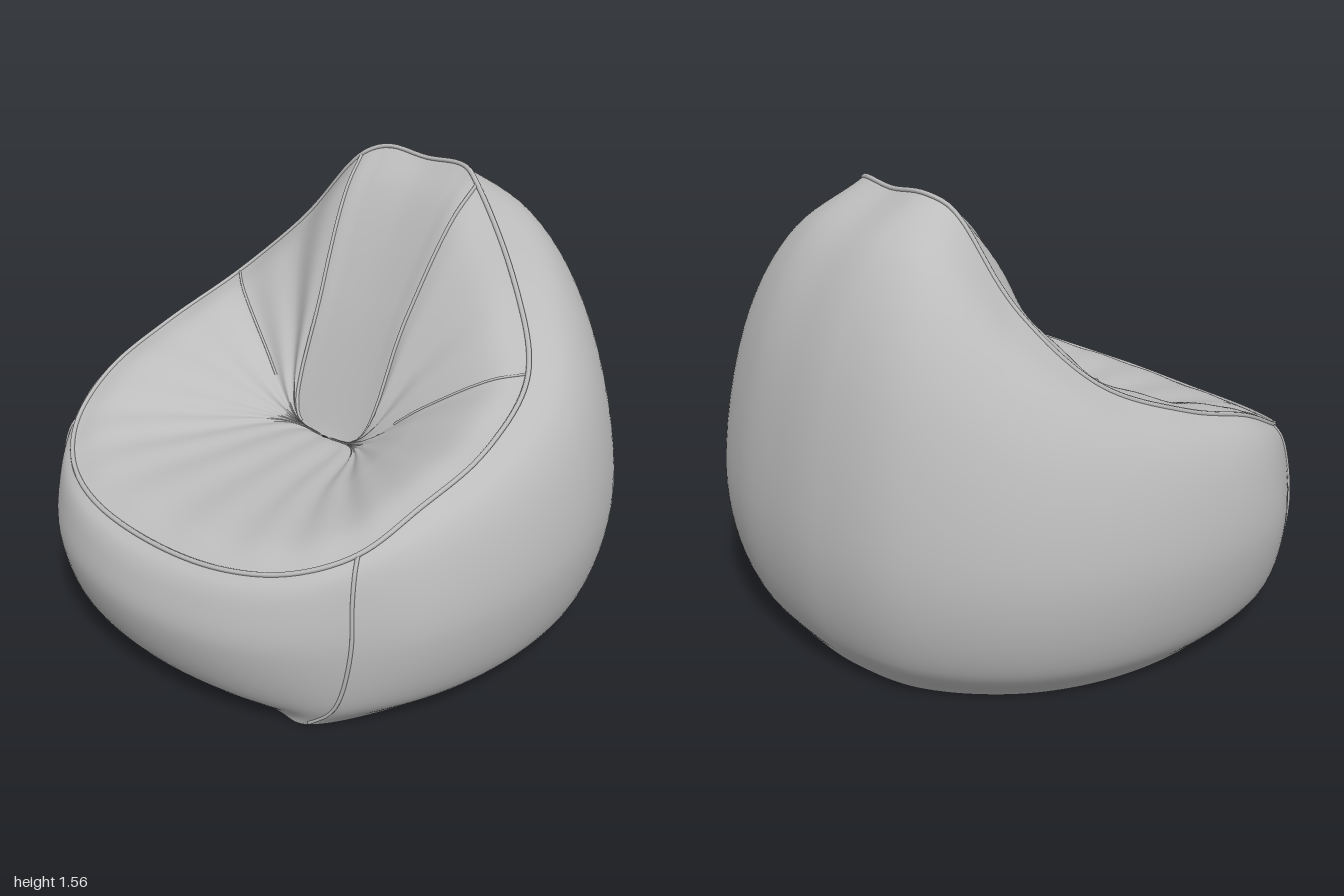
import * as THREE from 'three';
import { ParametricGeometry } from 'three/addons/geometries/ParametricGeometry.js';

// Left half of two key outlines, front centre -> side -> back centre
const BELLY = [[0, 1], [.35, .95], [.58, .84], [.725, .7], [.89, .47], [.98, .08],
  [.955, -.3], [.82, -.62], [.56, -.88], [.26, -.98], [0, -1]];
const RIM = [[0, .555, .9], [.32, .57, .87], [.54, .605, .78], [.69, .67, .63], [.755, .77, .42], [.775, .86, .12],
  [.7, 1, -.2], [.5, 1.23, -.37], [.27, 1.51, -.44], [.18, 1.55, -.48], [0, 1.54, -.49]];
const LAST = RIM.length - 1;

// Outside profile of one column: base, low, belly, upper, shoulder, rim
function outerColumn(i) {
  const [x, z] = BELLY[i];
  const belly = new THREE.Vector3(x, .4 - .07 * z, z);
  // the front of the base runs nearly straight between two corners
  const base = i < 4 ? new THREE.Vector3(x * .76, 0, .76 - .01 * i) : new THREE.Vector3(x * .83, 0, z * .84);
  const rim = new THREE.Vector3(...RIM[i]);
  const blend = (a, b, across, up) => a.clone().lerp(b, across).setY(THREE.MathUtils.lerp(a.y, b.y, up));
  return [base, blend(base, belly, .64, .31), belly, blend(belly, rim, .21, .56), blend(belly, rim, .55, .85), rim];
}

// Inside profile of one column: rim, padded edge, padded middle, crease, bottom
function innerColumn(i) {
  const angle = Math.PI * i / LAST;
  const rim = new THREE.Vector3(...RIM[i]);
  const crease = new THREE.Vector3(Math.min(.15, .3 * Math.sin(angle)),
    .63 - .01 * Math.cos(angle), .055 + .025 * Math.cos(angle));
  const puff = new THREE.Vector3(0, .035, .03);
  const padded = t => rim.clone().lerp(crease, t).add(puff);
  return [rim, padded(.17), padded(.56), crease, crease.clone().lerp(new THREE.Vector3(0, .605, .05), .92)];
}

// Full ring of column curves, the right half mirrored from the left
function columnCurves(column) {
  return Array.from({ length: 2 * LAST }, (_, k) => {
    const mirrored = k > LAST;
    const points = column(mirrored ? 2 * LAST - k : k);
    if (mirrored) points.forEach(p => { p.x = -p.x; });
    return new THREE.CatmullRomCurve3(points);
  });
}

export function createModel() {
  const group = new THREE.Group();
  const fabric = new THREE.MeshStandardMaterial({ color: 0xbcbcbc });
  fabric.name = 'grey fabric';

  const outer = { curves: columnCurves(outerColumn), rings: new Map(), pleats: 0 };
  const inner = { curves: columnCurves(innerColumn), rings: new Map(), pleats: .018 };

  // Closed ring through all columns at height v, cached
  function ring(surface, v) {
    if (!surface.rings.has(v)) {
      surface.rings.set(v, new THREE.CatmullRomCurve3(surface.curves.map(c => c.getPoint(v)), true));
    }
    return surface.rings.get(v);
  }

  // u: 0 front, 0.25 left, 0.5 back, 0.75 right
  function pointAt(surface, u, v, target = new THREE.Vector3()) {
    const w = (u + 1) % 1;
    ring(surface, v).getPoint(w, target);
    // soft pleats radiating from the crease, none on the centre back panel
    const fromBack = Math.abs(w - .5);
    if (fromBack > .1) {
      const depth = surface.pleats * (fromBack < .25 ? 1 : .55);
      const pleat = depth * Math.sin(Math.PI * v) * (.5 - .5 * Math.cos(40 * Math.PI * w));
      target.y += pleat * .7;
      target.z += pleat * .5;
    }
    return target;
  }

  function add(name, geometry) {
    const mesh = new THREE.Mesh(geometry, fabric);
    mesh.name = name;
    group.add(mesh);
    return mesh;
  }

  // Fabric panels, split along the sewn seams
  function panel(name, surface, u0, u1) {
    add(name, new ParametricGeometry(
      (s, t, target) => pointAt(surface, u0 + (u1 - u0) * s, t, target), Math.round((u1 - u0) * 200), 36));
  }
  panel('frontPanel', outer, -.15, .15);
  panel('outerBody', outer, .15, .85);
  panel('seat', inner, -.3, .3);
  panel('leftBackWing', inner, .3, .4);
  panel('centreBackPanel', inner, .4, .6);
  panel('rightBackWing', inner, .6, .7);

  // Flat underside
  const outline = ring(outer, 0).getPoints(120).map(p => new THREE.Vector2(p.x, p.z));
  add('base', new THREE.ShapeGeometry(new THREE.Shape(outline))).rotation.x = Math.PI / 2;

  // Sewn seams
  function seam(name, points, radius, closed = false) {
    const path = new THREE.CatmullRomCurve3(points, closed);
    add(name, new THREE.TubeGeometry(path, closed ? 200 : 48, radius, 6, closed));
  }
  const along = (surface, u, v0, v1) =>
    Array.from({ length: 17 }, (_, i) => pointAt(surface, u, v0 + (v1 - v0) * i / 16));

  seam('rimSeam', Array.from({ length: 80 }, (_, i) => pointAt(outer, i / 80, 1)), .009, true);
  for (const [side, sign] of [['left', 1], ['right', -1]]) {
    seam(side + 'FrontSeam', along(outer, sign * .15, .03, 1), .007);
    seam(side + 'BackSeam', along(inner, sign * .4, 0, .8), .007);
    seam(side + 'ArmSeam', along(inner, sign * .3, 0, .6), .005);
  }
  return group;
}
